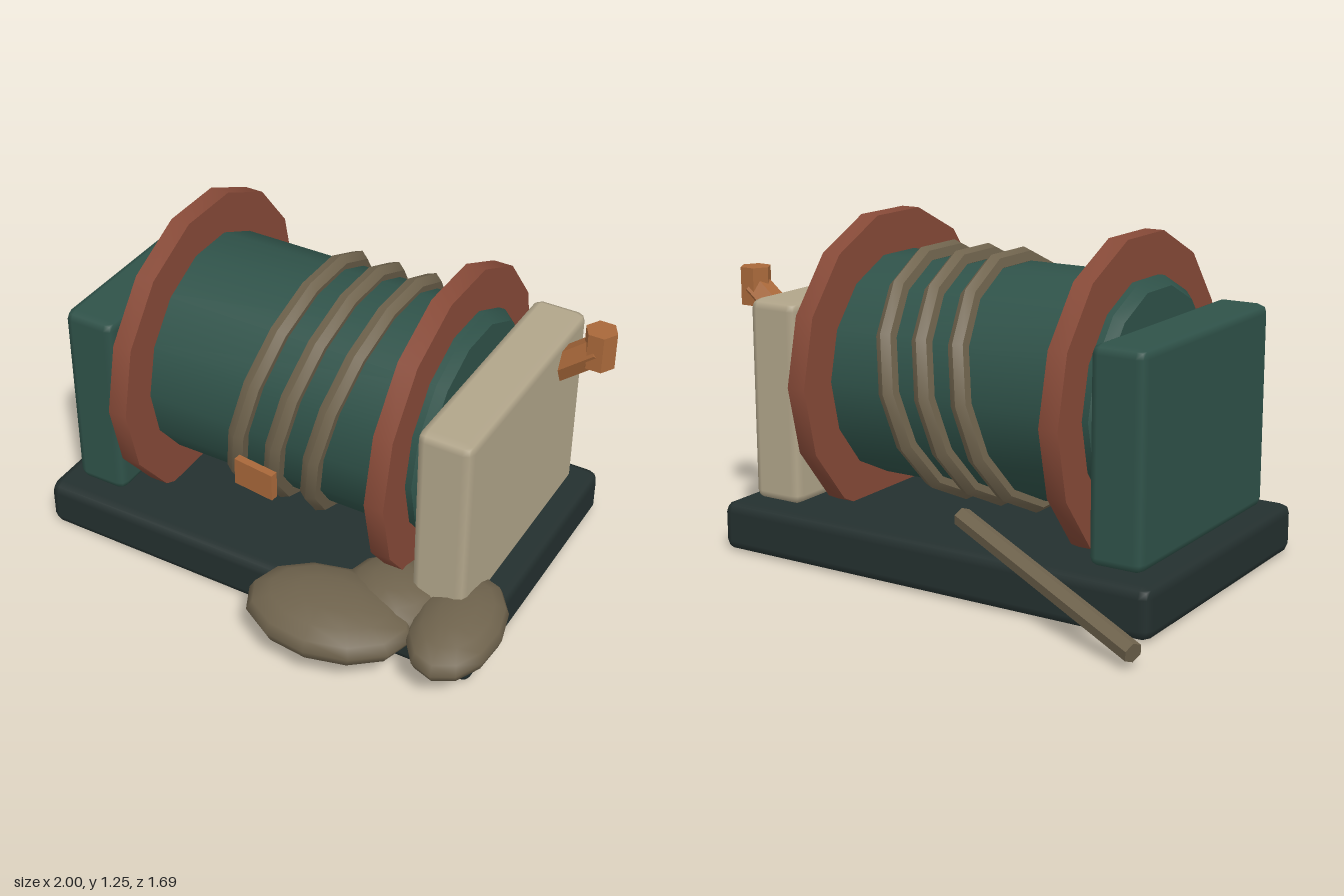
import * as THREE from 'three';
import { toCreasedNormals } from 'three/addons/utils/BufferGeometryUtils.js';
import { RoundedBoxGeometry } from 'three/addons/geometries/RoundedBoxGeometry.js';

const mat = (name, color) => {
  const m = new THREE.MeshStandardMaterial({ color });
  m.name = name;
  return m;
};

export function createModel() {
  const group = new THREE.Group();
  const teal = mat('teal paint', 0x2f5249);
  const dark = mat('dark base paint', 0x24302f);
  const beige = mat('beige casing', 0xb1a58a);
  const red = mat('rust red', 0x874a38);
  const copper = mat('copper', 0xa8683a);
  const rope = mat('rope', 0x6f634d);

  const add = (name, geometry, material, x, y, z) => {
    const mesh = new THREE.Mesh(geometry, material);
    mesh.name = name;
    mesh.position.set(x, y, z);
    group.add(mesh);
    return mesh;
  };
  // Rod with a polygonal section between two points
  const rod = (name, a, b, r, material) => {
    const from = new THREE.Vector3(...a), to = new THREE.Vector3(...b);
    const dir = to.clone().sub(from);
    const geo = toCreasedNormals(new THREE.CylinderGeometry(r, r, dir.length(), 6), 0.5);
    const mid = from.add(to).multiplyScalar(0.5);
    const mesh = add(name, geo, material, mid.x, mid.y, mid.z);
    mesh.quaternion.setFromUnitVectors(new THREE.Vector3(0, 1, 0), dir.normalize());
    return mesh;
  };

  // Base and the two end housings
  add('base', new RoundedBoxGeometry(1.82, 0.19, 1.15, 1, 0.04), dark, -0.02, 0.098, -0.045);
  add('rightHousing', new RoundedBoxGeometry(0.21, 0.77, 0.96, 1, 0.035), teal, -0.745, 0.58, -0.045);
  add('leftHousing', new RoundedBoxGeometry(0.21, 0.77, 0.96, 1, 0.035), beige, 0.705, 0.58, -0.045);

  // Drum with chamfered ends, axis along x
  const axisY = 0.68, axisZ = -0.04;
  const profile = [[0, -0.625], [0.4, -0.625], [0.433, -0.592], [0.433, 0.592], [0.4, 0.625], [0, 0.625]]
    .map(([r, y]) => new THREE.Vector2(r, y));
  const drum = toCreasedNormals(new THREE.LatheGeometry(profile, 14), 0.6);
  add('drum', drum.rotateZ(-Math.PI / 2), teal, -0.02, axisY, axisZ);

  // Flanges
  for (const x of [-0.55, 0.51]) {
    const flange = toCreasedNormals(new THREE.CylinderGeometry(0.59, 0.59, 0.075, 14), 0.6);
    add('flange', flange.rotateZ(-Math.PI / 2), red, x, axisY, axisZ);
  }

  // Tilted rope turns and the loose end
  for (const x of [-0.115, 0.04, 0.195]) {
    const turn = new THREE.TorusGeometry(0.455, 0.037, 6, 14).rotateY(Math.PI / 2);
    add('ropeTurn', toCreasedNormals(turn, 0.6), rope, x, axisY, axisZ).rotation.z = -0.205;
  }
  rod('ropeEnd', [-0.985, 0.06, -0.82], [-0.12, 0.275, -0.5], 0.037, rope);

  // Rope clip
  add('clip', new THREE.BoxGeometry(0.17, 0.11, 0.03), copper, -0.022, 0.535, 0.455).rotation.y = -0.12;

  // Crank arm and its upright grip
  rod('crankArm', [0.72, 0.785, -0.325], [0.94, 0.965, -0.325], 0.058, copper);
  rod('crankGrip', [0.94, 0.9, -0.325], [0.94, 1.045, -0.325], 0.06, copper).rotation.y = Math.PI / 6;

  // Slumped sacks: [x, z, half width, half depth, turn]
  const sacks = [
    [0.38, 0.62, 0.32, 0.22, 0.08],
    [0.54, 0.43, 0.2, 0.2, 0],
    [0.81, 0.465, 0.165, 0.27, 0.1],
  ];
  sacks.forEach(([x, z, rx, rz, turn], i) => {
    const sack = new THREE.SphereGeometry(1, 12, 8).scale(rx, i === 2 ? 0.095 : 0.105, rz);
    add('sack', sack, rope, x, i === 2 ? 0.205 : 0.197, z).rotation.y = turn;
  });

  return group;
}
